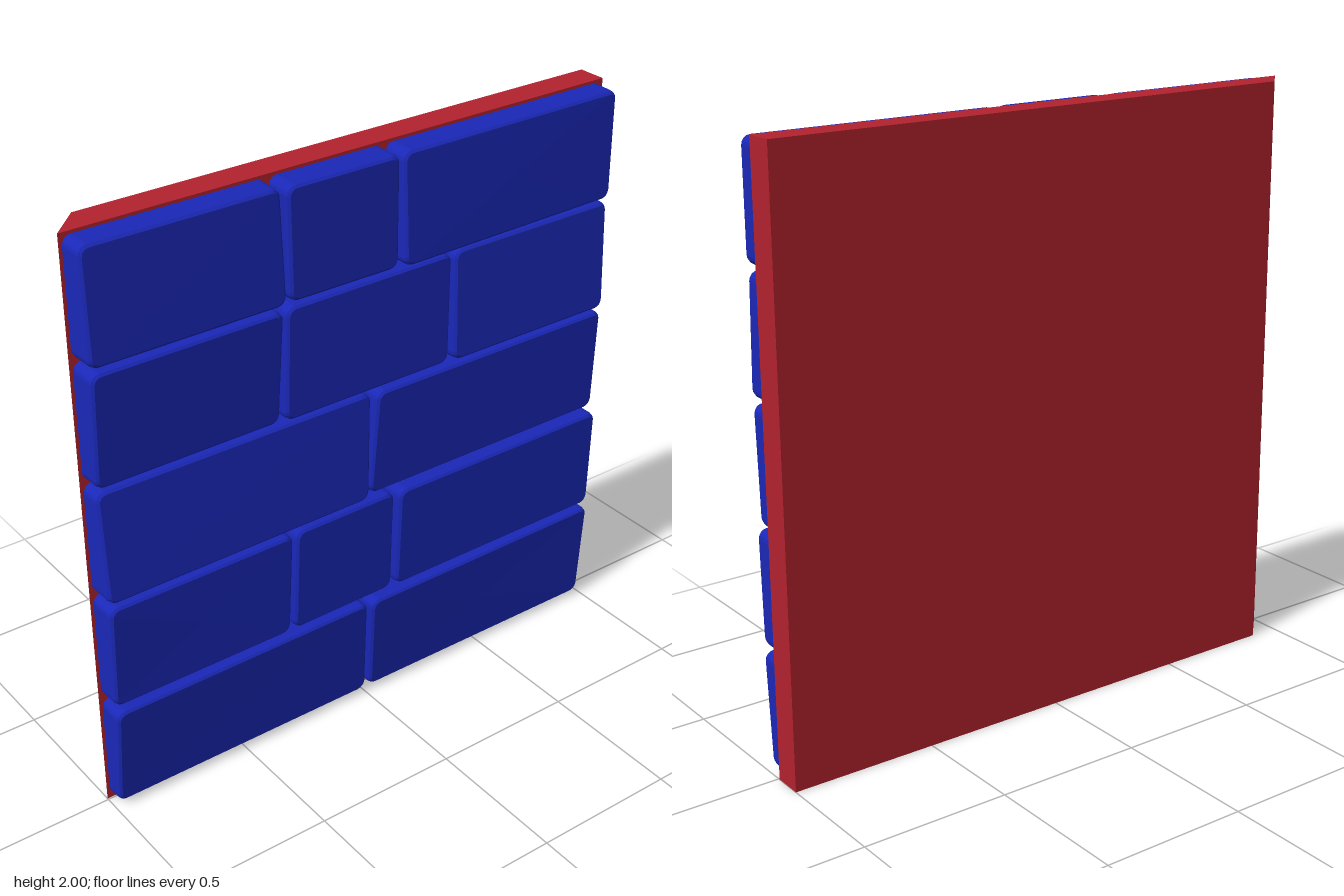
import * as THREE from 'three';

const red = new THREE.MeshStandardMaterial({ color: 0xb3222e });
const blue = new THREE.MeshStandardMaterial({ color: 0x1a28b8, flatShading: true });

// Rounded outline [z, y] of a four-cornered stone, shrunk by d.
// corners: bottom near, bottom far, top far, top near
function outline(corners, d, r) {
  const signs = [[-1, 1], [1, 1], [1, -1], [-1, -1]]; // inward direction for z (near to far) and y
  const pts = [];
  corners.forEach(([z, y], i) => {
    const [sz, sy] = signs[i];
    const cz = z + sz * (r + d), cy = y + sy * (r + d);
    for (let k = 0; k <= 4; k++) {
      const a = Math.PI + i * Math.PI / 2 + k * Math.PI / 8;
      pts.push([cz - r * Math.cos(a), cy + r * Math.sin(a)]);
    }
  });
  return pts;
}

// Stone with bevelled edges; its face height is blended between four corner heights
function stoneGeometry(corners, heights) {
  const [bn, bf, tf, tn] = heights;
  const [y0, y1] = [corners[0][1], corners[2][1]];
  const z0 = corners[0][0], z1 = corners[1][0];
  const face = (z, y) => {
    const u = (z - z0) / (z1 - z0), v = (y - y0) / (y1 - y0);
    return (bn * (1 - u) + bf * u) * (1 - v) + (tn * (1 - u) + tf * u) * v;
  };
  // inset, corner radius, drop below the face (null = wall plane)
  const steps = [[0, 0.03, null], [0.001, 0.03, 0.02], [0.004, 0.028, 0.007], [0.012, 0.024, 0]];
  const rings = steps.map(([d, r, drop]) => outline(corners, d, r).map(([z, y]) =>
    [drop === null ? -0.01 : face(z, y) - drop, y, z]));
  const n = rings[0].length, pos = [];
  const tri = (...p) => p.forEach(q => pos.push(...q));
  for (let i = 0; i < rings.length - 1; i++) {
    for (let j = 0; j < n; j++) {
      const k = (j + 1) % n;
      tri(rings[i][j], rings[i][k], rings[i + 1][k]);
      tri(rings[i][j], rings[i + 1][k], rings[i + 1][j]);
    }
  }
  const cz = (z0 + z1) / 2, cy = (y0 + y1) / 2, top = rings[rings.length - 1];
  for (let j = 0; j < n; j++) tri([face(cz, cy), cy, cz], top[j], top[(j + 1) % n]);
  const g = new THREE.BufferGeometry();
  g.setAttribute('position', new THREE.Float32BufferAttribute(pos, 3));
  g.computeVertexNormals();
  return g;
}

// Courses from the bottom: seams are [z at bottom, z at top];
// heights per stone are bottom near, bottom far, top far, top near
const courses = [
  { y: [0.015, 0.4], seams: [[-0.008, 0.002]],
    heights: [[0.055, 0.055, 0.085, 0.09], [0.055, 0.06, 0.085, 0.09]] },
  { y: [0.417, 0.8], seams: [[0.315, 0.305], [-0.103, -0.108]],
    heights: [[0.08, 0.08, 0.09, 0.095], [0.08, 0.075, 0.08, 0.085], [0.08, 0.08, 0.09, 0.09]] },
  { y: [0.812, 1.197], seams: [[-0.003, -0.02]],
    heights: [[0.095, 0.085, 0.065, 0.065], [0.065, 0.065, 0.08, 0.08]] },
  { y: [1.21, 1.6], seams: [[0.332, 0.322], [-0.327, -0.33]],
    heights: [[0.075, 0.07, 0.09, 0.095], [0.08, 0.075, 0.075, 0.08], [0.085, 0.085, 0.07, 0.07]] },
  { y: [1.612, 1.99], seams: [[0.31, 0.318], [-0.11, -0.108]],
    heights: [[0.095, 0.09, 0.08, 0.08], [0.085, 0.085, 0.09, 0.09], [0.1, 0.08, 0.08, 0.085]] },
];

export function createModel() {
  const model = new THREE.Group();
  model.name = 'stoneWallPanel';

  // Backing slab, mitred along its near back edge
  const plan = new THREE.Shape([[-0.105, -0.9], [-0.005, -1], [-0.005, 1], [-0.105, 1]]
    .map(p => new THREE.Vector2(...p)));
  const slabGeometry = new THREE.ExtrudeGeometry(plan, { depth: 2, bevelEnabled: false });
  slabGeometry.rotateX(-Math.PI / 2);
  const slab = new THREE.Mesh(slabGeometry, red);
  slab.name = 'backingSlab';
  model.add(slab);

  // Courses of uneven stones
  const gap = 0.006;
  courses.forEach(({ y, seams, heights }, row) => {
    const course = new THREE.Group();
    course.name = `course${row + 1}`;
    const cuts = [[0.995, 0.995], ...seams, [-0.995, -0.995]];
    heights.forEach((h, i) => {
      const [nb, nt] = cuts[i].map(z => z - gap);
      const [fb, ft] = cuts[i + 1].map(z => z + gap);
      const corners = [[nb, y[0]], [fb, y[0]], [ft, y[1]], [nt, y[1]]];
      const stone = new THREE.Mesh(stoneGeometry(corners, h), blue);
      stone.name = `stone${row + 1}_${i + 1}`;
      course.add(stone);
    });
    model.add(course);
  });
  return model;
}
